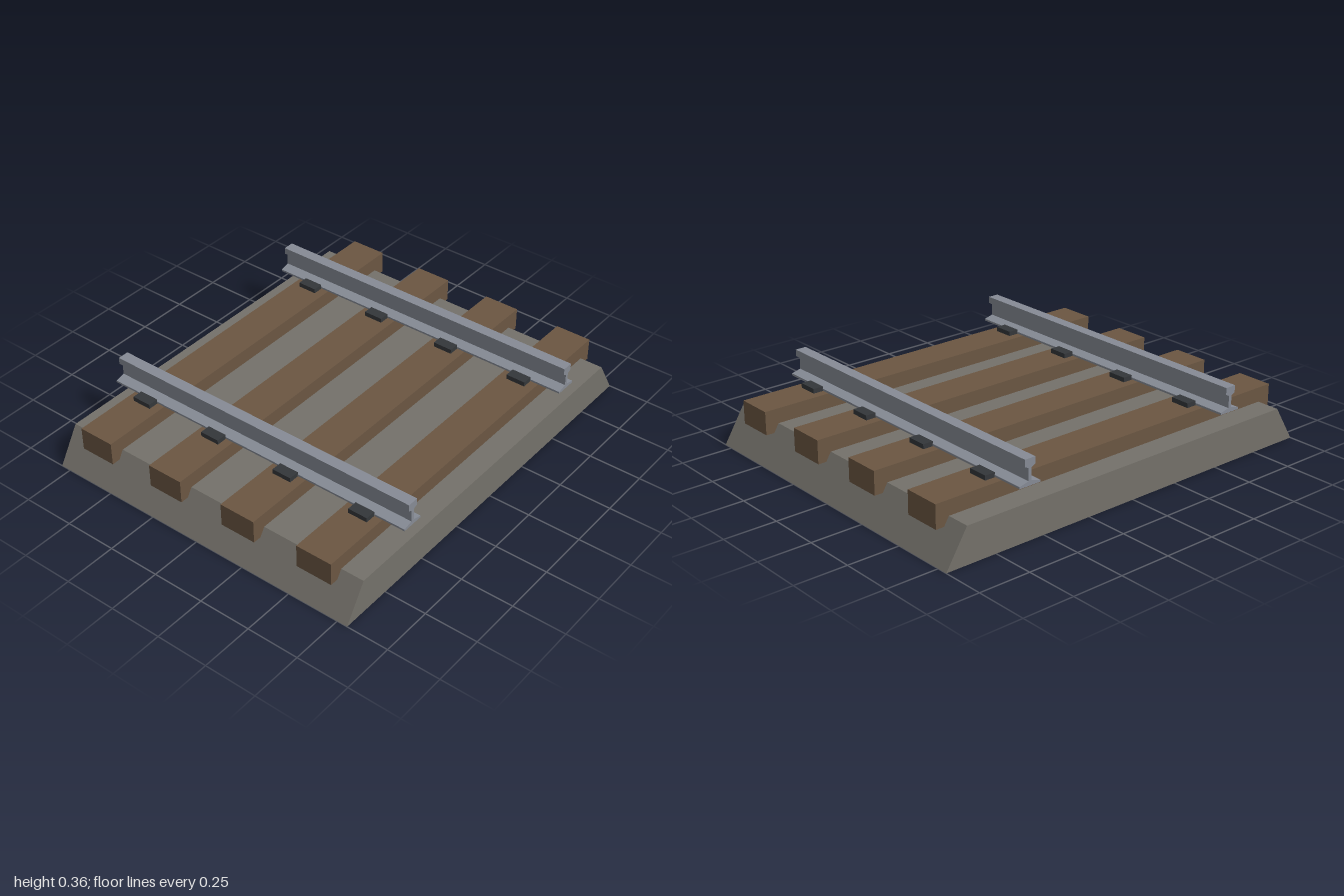
import * as THREE from 'three';

function material(name, color) {
  const m = new THREE.MeshStandardMaterial({ color });
  m.name = name;
  return m;
}

// Extrudes an x-y outline along z, centred on z = 0
function extrusion(points, length) {
  const shape = new THREE.Shape(points.map(([x, y]) => new THREE.Vector2(x, y)));
  return new THREE.ExtrudeGeometry(shape, { depth: length, bevelEnabled: false }).translate(0, 0, -length / 2);
}

export function createModel() {
  const group = new THREE.Group();
  group.name = 'railwayTrack';
  const gravel = material('gravel grey', 0x74716a);
  const wood = material('sleeper brown', 0x6b5642);
  const steel = material('rail steel', 0x868b95);
  const iron = material('dark iron', 0x34373a);

  const add = (name, geometry, mat, x = 0, y = 0, z = 0) => {
    const mesh = new THREE.Mesh(geometry, mat);
    mesh.name = name;
    mesh.position.set(x, y, z);
    group.add(mesh);
  };

  const length = 1.6, railX = 0.575, sleeperTop = 0.24;

  // Ballast bed with sloping shoulders
  add('ballast', extrusion([[-1, 0], [1, 0], [0.895, 0.17], [-0.895, 0.17]], length), gravel);

  // Rails: flared foot, thin web, tapered head
  const half = [
    [0.054, 0.242], [0.054, 0.251], [0.008, 0.263],
    [0.008, 0.32], [0.027, 0.329], [0.027, 0.361],
  ];
  const mirrored = half.map(([x, y]) => [-x, y]).reverse();
  const railGeometry = extrusion([...half, ...mirrored], length);
  for (const side of [-1, 1]) add(side > 0 ? 'leftRail' : 'rightRail', railGeometry, steel, side * railX);

  // Sleepers, each with a clip on both sides of each rail
  const sleeperGeometry = new THREE.BoxGeometry(1.92, 0.11, 0.176);
  const clipGeometry = new THREE.BoxGeometry(0.05, 0.022, 0.095);
  for (const z of [-0.6, -0.2, 0.2, 0.6]) {
    add('sleeper', sleeperGeometry, wood, 0, sleeperTop - 0.055, z);
    for (const side of [-1, 1]) {
      for (const offset of [-0.078, 0.078]) {
        add('railClip', clipGeometry, iron, side * railX + offset, sleeperTop + 0.011, z);
      }
    }
  }
  return group;
}
